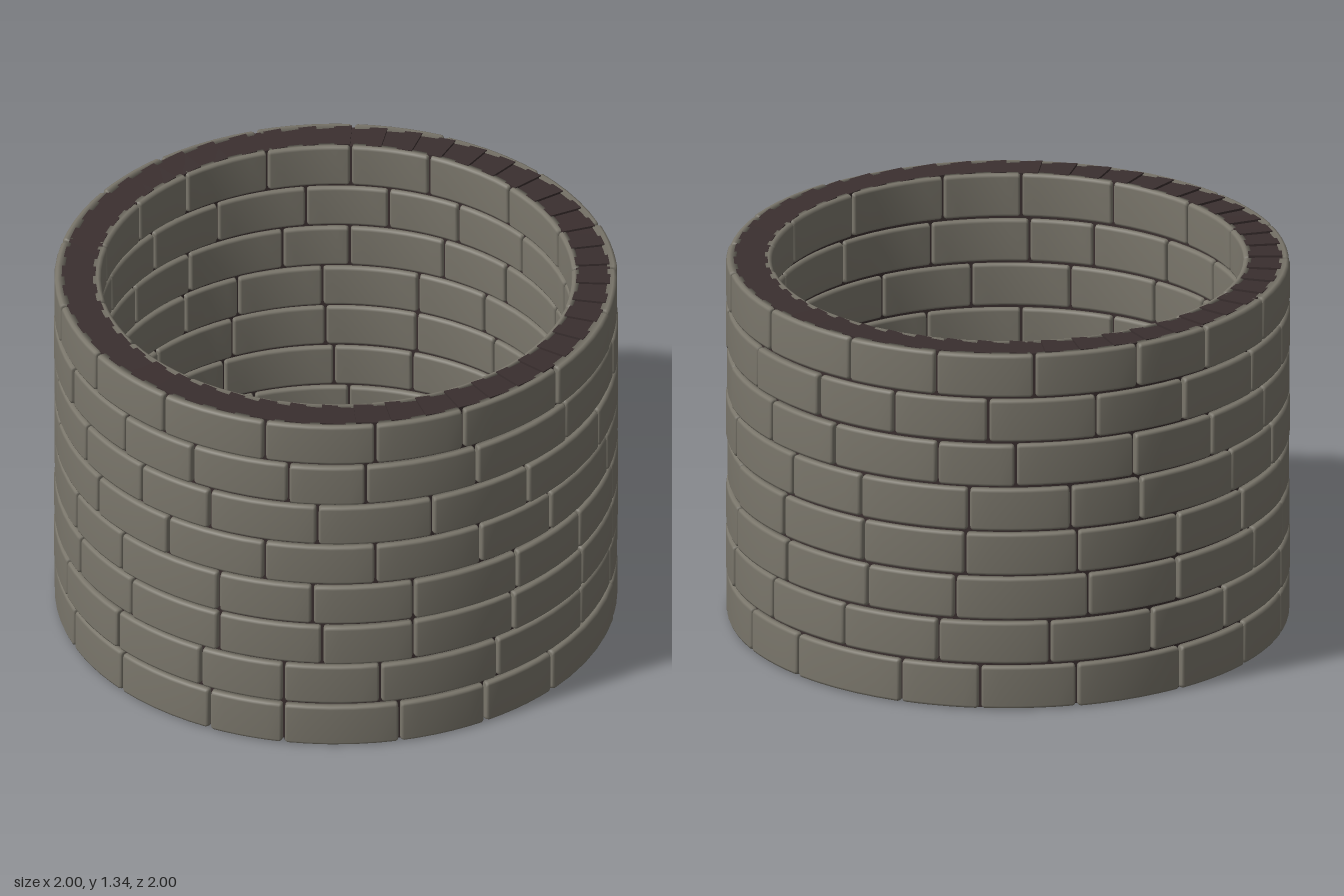
import * as THREE from 'three';
import { mergeGeometries } from 'three/addons/utils/BufferGeometryUtils.js';

const ROWS = 8, PITCH = 0.168, GAP = 0.01;
const CORE_IN = 0.852, CORE_OUT = 0.972;
const RAD = Math.PI / 180;

// Known vertical joints of each course, in degrees from +z towards +x
const JOINTS = [
  [-39, -16, 0, 24, 43, 61, 91, 114, 136],
  [-40, -18, 0, 20, 46, 72, 89, 104, 125, 145],
  [-55, -36, -14, 8, 27, 50, 72, 90, 107, 128, 150],
  [-57, -39, -14, 6, 27, 51, 71, 90, 107, 129, 149],
  [-47, -26, -4, 19, 42, 61, 86, 106, 127, 152],
  [-52, -33, -16, 7, 31, 54, 80, 105, 123, 145],
  [-59, -38, -20, 1, 17, 41, 66, 92, 116, 139],
  [-48, -27, -4, 19, 38, 63, 87, 104, 121, 144],
];

let seed = 7;
function rand() {
  seed = (seed * 16807) % 2147483647;
  return seed / 2147483647;
}

// Complete a course around the rest of the circle with slightly uneven bricks
function fullCourse(known) {
  const list = [...known];
  const start = known[known.length - 1];
  const span = known[0] + 360 - start;
  const n = Math.round(span / 21);
  for (let i = 1; i < n; i++) list.push(start + (span * i) / n + (rand() - 0.5) * 6);
  list.push(known[0] + 360);
  return list;
}

// Curved brick: a softened profile swept along an arc, from rear radius to face radius
function arcBrick(a0, a1, y0, y1, rear, face) {
  const dir = Math.sign(face - rear);
  const b = 0.012;
  const profile = (inset) => {
    const f = face - dir * inset, lo = y0 + inset, hi = y1 - inset;
    return [
      [rear, lo], [f - dir * b, lo], [f - dir * b * 0.3, lo + b * 0.3], [f, lo + b],
      [f, hi - b], [f - dir * b * 0.3, hi - b * 0.3], [f - dir * b, hi], [rear, hi],
    ];
  };
  const d = 0.008;
  const stations = [[a0, 0.008], [a0 + d * 0.35, 0.003], [a0 + d * 1.3, 0]];
  const mid = 5;
  for (let i = 1; i < mid; i++) stations.push([a0 + ((a1 - a0) * i) / mid, 0]);
  stations.push([a1 - d * 1.3, 0], [a1 - d * 0.35, 0.003], [a1, 0.008]);

  const pos = [], idx = [], n = 8;
  const quad = (p, q, r, s) => (dir > 0 ? idx.push(p, q, r, p, r, s) : idx.push(p, r, q, p, s, r));
  for (const [a, inset] of stations)
    for (const [r, y] of profile(inset)) pos.push(r * Math.sin(a), y, r * Math.cos(a));
  for (let i = 0; i < stations.length - 1; i++)
    for (let j = 0; j < n; j++) {
      const k = (j + 1) % n;
      quad(i * n + j, (i + 1) * n + j, (i + 1) * n + k, i * n + k);
    }
  const e = (stations.length - 1) * n;
  for (let j = 1; j < n - 1; j++) {
    if (dir > 0) idx.push(0, j, j + 1, e, e + j + 1, e + j);
    else idx.push(0, j + 1, j, e, e + j, e + j + 1);
  }
  const g = new THREE.BufferGeometry();
  g.setAttribute('position', new THREE.Float32BufferAttribute(pos, 3));
  g.setIndex(idx);
  g.computeVertexNormals();
  return g;
}

// One wedge of the dark core, its ends tilted to give a toothed rim
function coreWedge(a0, a1, yLow, yHigh) {
  const tilt = 0.008;
  const g = new THREE.BoxGeometry(1, 1, 1, 2, 1, 1);
  const p = g.attributes.position;
  for (let i = 0; i < p.count; i++) {
    const t = p.getX(i) + 0.5;
    const a = a0 + (a1 - a0) * t;
    const r = p.getZ(i) > 0 ? CORE_OUT : CORE_IN;
    const y = p.getY(i) > 0 ? yHigh - tilt * t : yLow + tilt * t;
    p.setXYZ(i, r * Math.sin(a), y, r * Math.cos(a));
  }
  g.computeVertexNormals();
  return g;
}

export function createModel() {
  const stone = new THREE.MeshStandardMaterial({ color: 0x7a766b });
  stone.name = 'greyStone';
  const mortar = new THREE.MeshStandardMaterial({ color: 0x3a2f2f });
  mortar.name = 'darkMortar';

  const model = new THREE.Group();
  model.name = 'roundBrickWall';
  const add = (name, geometries, material) => {
    const mesh = new THREE.Mesh(mergeGeometries(geometries), material);
    mesh.name = name;
    model.add(mesh);
  };

  // Dark core filling the wall between the two brick faces
  const wedges = [];
  const count = 48;
  for (let i = 0; i < count; i++) {
    const a = (i / count) * Math.PI * 2;
    wedges.push(coreWedge(a, a + (Math.PI * 2) / count, 0.001, ROWS * PITCH + 0.002));
  }
  add('mortarCore', wedges, mortar);

  // Courses of bricks facing outwards and inwards
  for (let row = 0; row < ROWS; row++) {
    const y0 = row * PITCH + (row === 0 ? 0.002 : GAP / 2);
    const y1 = (row + 1) * PITCH - (row === ROWS - 1 ? 0.002 : GAP / 2);
    const joints = fullCourse(JOINTS[row]);
    const outer = [], inner = [];
    for (let i = 0; i < joints.length - 1; i++) {
      const a0 = joints[i] * RAD + 0.005, a1 = joints[i + 1] * RAD - 0.005;
      const lift = (rand() - 0.5) * 0.004;
      const face = 0.993 + rand() * 0.007;
      outer.push(arcBrick(a0, a1, y0 + Math.max(lift, 0), y1 + Math.min(lift, 0), 0.962, face));
      inner.push(arcBrick(a0, a1, y0, y1, 0.862, 0.836 - rand() * 0.004));
    }
    add('outerCourse' + (row + 1), outer, stone);
    add('innerCourse' + (row + 1), inner, stone);
  }
  return model;
}
